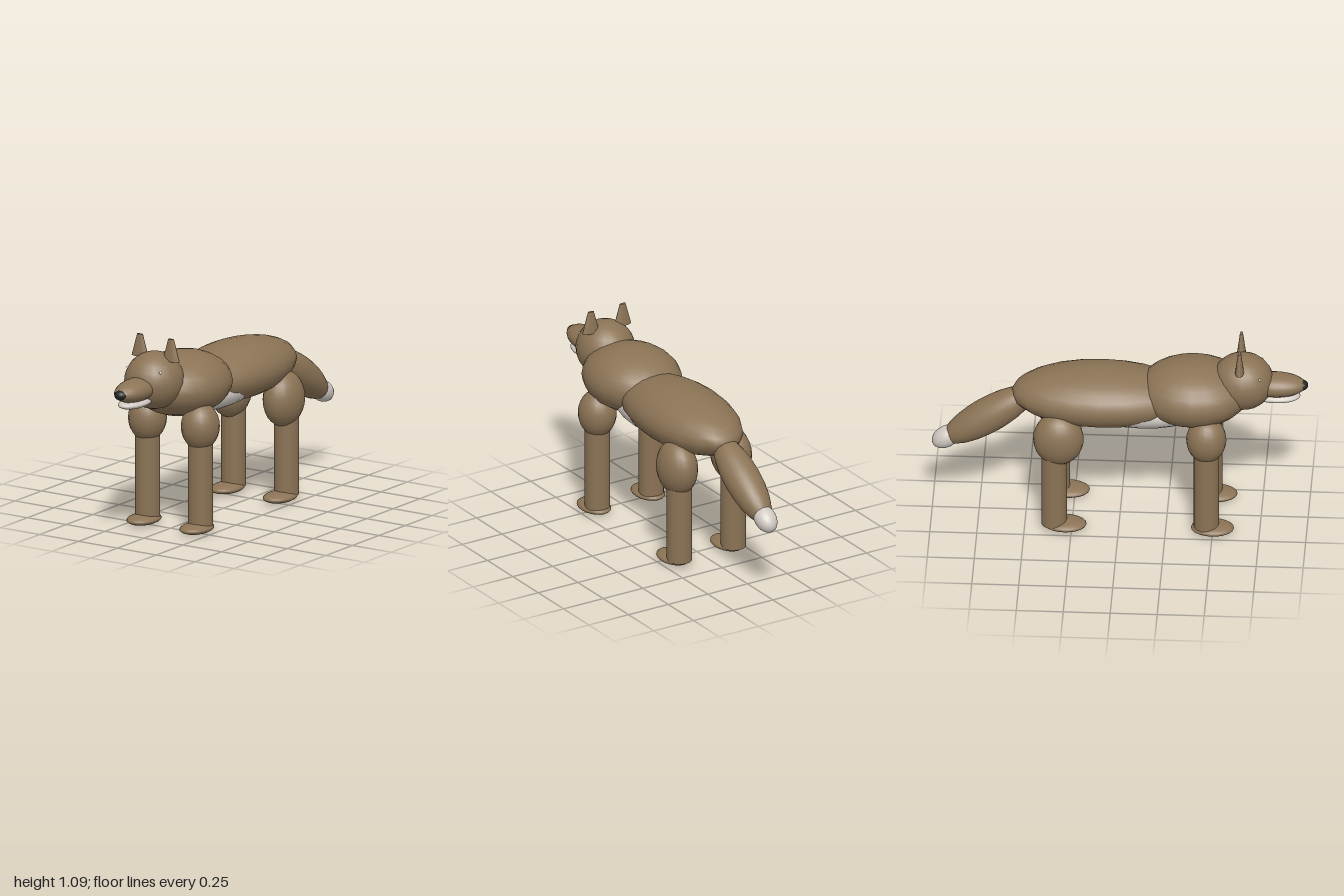
import * as THREE from 'three';

export function createModel() {
  const model = new THREE.Group();
  model.name = 'fox';

  const material = (name, color) => {
    const m = new THREE.MeshStandardMaterial({ color });
    m.name = name;
    return m;
  };
  const fur = material('brown fur', 0x8b7355);
  const pale = material('pale fur', 0xd0c9c2);
  const dark = material('dark nose', 0x222222);

  const add = (name, geometry, mat, position) => {
    const mesh = new THREE.Mesh(geometry, mat);
    mesh.name = name;
    mesh.position.set(...position);
    model.add(mesh);
    return mesh;
  };
  const ellipsoid = (name, mat, position, radii) =>
    add(name, new THREE.SphereGeometry(1, 20, 14).scale(...radii), mat, position);

  // Trunk
  ellipsoid('body', fur, [0, 0.745, -0.1], [0.24, 0.155, 0.48]);
  ellipsoid('chest', fur, [0, 0.78, 0.39], [0.255, 0.172, 0.3]);
  ellipsoid('belly', pale, [0, 0.69, 0.12], [0.19, 0.105, 0.36]);

  // Head
  ellipsoid('head', fur, [0, 0.85, 0.652], [0.158, 0.155, 0.165]);
  ellipsoid('snout', fur, [0, 0.833, 0.825], [0.086, 0.062, 0.165]);
  ellipsoid('lowerJaw', pale, [0, 0.766, 0.83], [0.07, 0.028, 0.13]);
  ellipsoid('nose', dark, [0, 0.833, 0.968], [0.035, 0.027, 0.032]);

  // Tail slopes down and backwards
  const tailSlope = -0.594;
  ellipsoid('tail', fur, [0, 0.59, -0.7], [0.1, 0.095, 0.29]).rotation.x = tailSlope;
  ellipsoid('tailTip', pale, [0, 0.446, -0.925], [0.06, 0.057, 0.085]).rotation.x = tailSlope;

  for (const [side, s] of [['left', 1], ['right', -1]]) {
    // Flattened, blunt ears and tiny eyes
    add(side + 'Ear', new THREE.CylinderGeometry(0.018, 0.052, 0.12, 16).scale(1, 1, 0.45),
      fur, [s * 0.1, 1.025, 0.64]);
    ellipsoid(side + 'Eye', pale, [s * 0.105, 0.923, 0.748], [0.007, 0.007, 0.007]);

    // Front leg
    ellipsoid(side + 'Shoulder', fur, [s * 0.17, 0.58, 0.467], [0.102, 0.13, 0.107]);
    add(side + 'FrontLeg', new THREE.CylinderGeometry(0.068, 0.068, 0.5, 16), fur, [s * 0.17, 0.28, 0.467]);
    ellipsoid(side + 'FrontPaw', fur, [s * 0.17, 0.028, 0.5], [0.081, 0.028, 0.115]);

    // Hind leg
    ellipsoid(side + 'Thigh', fur, [s * 0.17, 0.56, -0.32], [0.102, 0.152, 0.135]);
    add(side + 'HindLeg', new THREE.CylinderGeometry(0.068, 0.068, 0.5, 16), fur, [s * 0.17, 0.28, -0.343]);
    ellipsoid(side + 'HindPaw', fur, [s * 0.17, 0.028, -0.285], [0.081, 0.028, 0.115]);
  }

  return model;
}
